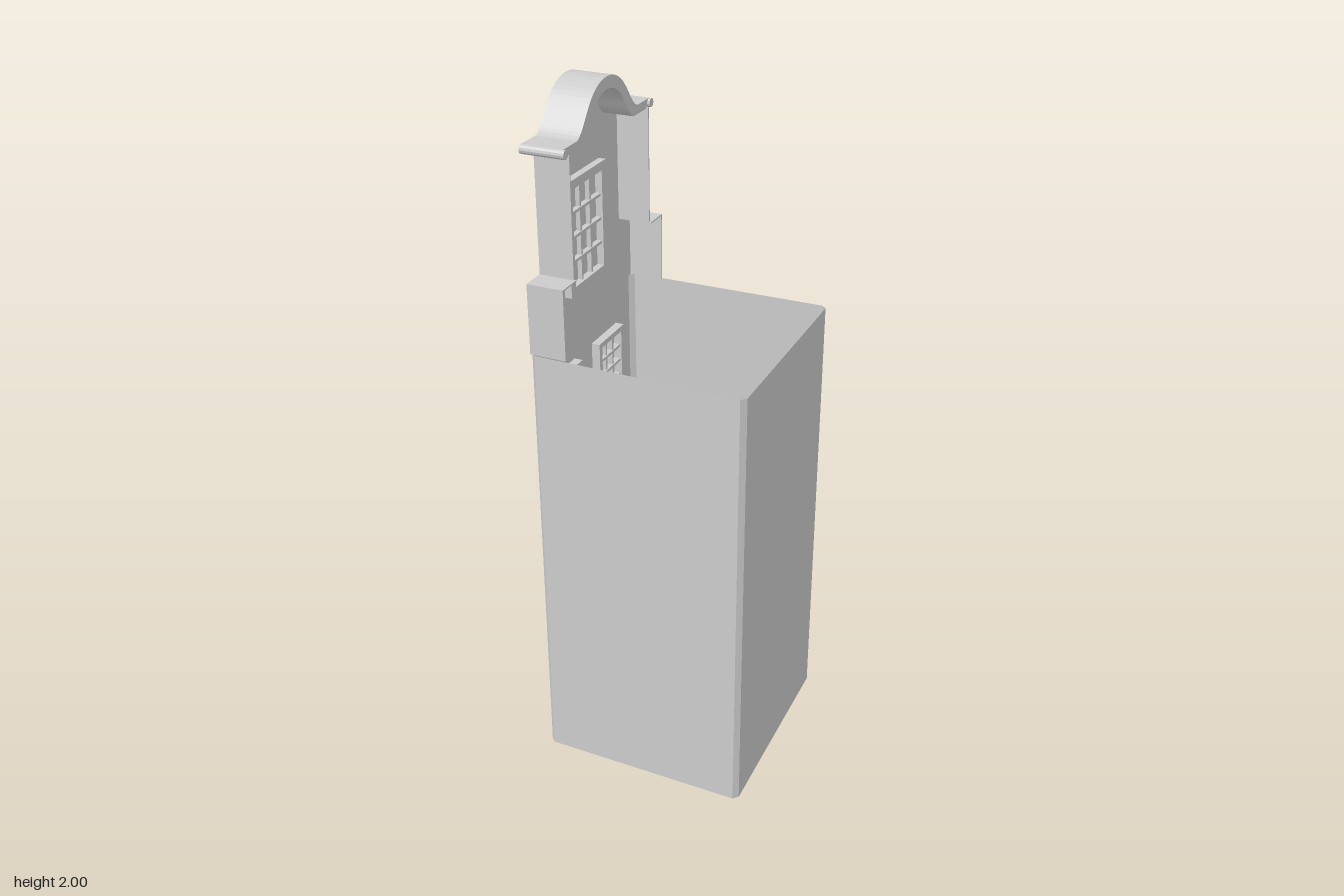
import * as THREE from 'three';

const material = new THREE.MeshStandardMaterial({ color: 0xcccccc, flatShading: true, side: THREE.DoubleSide });
const WALL = -0.285; // plane of the street facade, which faces -x

function add(parent, name, geometry) {
  const mesh = new THREE.Mesh(geometry, material);
  mesh.name = name;
  parent.add(mesh);
  return mesh;
}

// Box given by its limits on each axis
function box(parent, name, [x0, x1], [y0, y1], [z0, z1]) {
  const mesh = add(parent, name, new THREE.BoxGeometry(x1 - x0, y1 - y0, z1 - z0));
  mesh.position.set((x0 + x1) / 2, (y0 + y1) / 2, (z0 + z1) / 2);
  return mesh;
}

// Shape drawn in (z, y), given thickness along x
function slab(parent, name, shape, x0, x1) {
  const g = new THREE.ExtrudeGeometry(shape, { depth: x1 - x0, bevelEnabled: false, curveSegments: 16 });
  g.rotateY(-Math.PI / 2).translate(x1, 0, 0);
  return add(parent, name, g);
}

// Open shell joining a bottom outline to a top outline
function shell(bottom, top, y0, y1) {
  const pos = [], index = [], n = bottom.length;
  for (let i = 0; i < n; i++) {
    pos.push(bottom[i][0], y0, bottom[i][1], top[i][0], y1, top[i][1]);
    const a = 2 * i, b = 2 * ((i + 1) % n);
    index.push(a, a + 1, b, b, a + 1, b + 1);
  }
  const g = new THREE.BufferGeometry();
  g.setAttribute('position', new THREE.Float32BufferAttribute(pos, 3));
  g.setIndex(index);
  const flat = g.toNonIndexed();
  flat.computeVertexNormals();
  return flat;
}

// Rectangle with chamfered corners, in (x, z)
function outline(x0, x1, zFront, zBack, c) {
  return [[x0, -zFront + c], [x0 + c, -zFront], [x1 - c, -zBack], [x1, -zBack + c],
    [x1, zBack - c], [x1 - c, zBack], [x0 + c, zFront], [x0, zFront - c]];
}

// Frame with glazing bars that pass through the wall
function makeWindow(name, [z0, z1], [y0, y1], front, rim, cols, rows) {
  const group = new THREE.Group();
  group.name = name;
  const frame = new THREE.Shape([[z0, y0], [z1, y0], [z1, y1], [z0, y1]].map(p => new THREE.Vector2(...p)));
  frame.holes.push(new THREE.Path([[z0 + rim, y0 + rim], [z0 + rim, y1 - rim], [z1 - rim, y1 - rim], [z1 - rim, y0 + rim]]
    .map(p => new THREE.Vector2(...p))));
  slab(group, 'windowFrame', frame, front, -0.26);
  const t = 0.004, depth = [front + 0.012, -0.268];
  for (let i = 1; i < cols; i++) {
    const z = z0 + rim + (z1 - z0 - 2 * rim) * i / cols;
    box(group, 'verticalBar', depth, [y0 + rim, y1 - rim], [z - t, z + t]);
  }
  for (let i = 1; i < rows; i++) {
    const y = y0 + rim + (y1 - y0 - 2 * rim) * i / rows;
    box(group, 'horizontalBar', [depth[0] - 0.003, depth[1] + 0.003], [y - t, y + t], [z0 + rim, z1 - rim]);
  }
  return group;
}

// Curve of the gable top, from the +z shoulder over the crown to the -z shoulder
function crown(shape, shoulder, top, w) {
  shape.lineTo(w, shoulder);
  shape.bezierCurveTo(w * 0.72, shoulder + 0.01, w * 0.62, top, 0, top);
  shape.bezierCurveTo(-w * 0.62, top, -w * 0.72, shoulder + 0.01, -w, shoulder);
}

export function createModel() {
  const model = new THREE.Group();
  model.name = 'canalHouse';

  // Walls, open at top and bottom
  add(model, 'houseWalls', shell(
    outline(WALL, 0.335, 0.309, 0.311, 0.014),
    outline(WALL, 0.327, 0.303, 0.31, 0.014), 0.01, 1.33));

  // Stepped gable sheet
  const gable = new THREE.Shape();
  gable.moveTo(-0.3, 1.33);
  gable.lineTo(0.3, 1.33);
  gable.lineTo(0.3, 1.53);
  gable.lineTo(0.23, 1.53);
  gable.lineTo(0.23, 1.865);
  crown(gable, 1.865, 1.975, 0.16);
  gable.lineTo(-0.23, 1.865);
  gable.lineTo(-0.23, 1.53);
  gable.lineTo(-0.3, 1.53);
  gable.closePath();
  slab(model, 'gable', gable, WALL, WALL + 0.004);

  // Returns along the gable's sides
  for (const s of [-1, 1]) {
    const span = (a, b) => [Math.min(s * a, s * b), Math.max(s * a, s * b)];
    box(model, 'lowerReturn', [WALL, -0.18], [1.33, 1.53], span(0.296, 0.3));
    box(model, 'gableStep', [WALL, -0.18], [1.526, 1.53], span(0.226, 0.3));
    box(model, 'upperReturn', [WALL, -0.185], [1.53, 1.86], span(0.226, 0.23));
    // Rounded cornice end
    const end = add(model, 'corniceEnd', new THREE.CylinderGeometry(0.0125, 0.0125, 0.125, 12));
    end.rotation.z = Math.PI / 2;
    end.position.set(-0.2475, 1.8675, s * 0.247);
  }

  // Arched cornice band
  const cornice = new THREE.Shape();
  cornice.moveTo(0.247, 1.855);
  cornice.lineTo(0.247, 1.88);
  crown(cornice, 1.88, 2.0, 0.175);
  cornice.lineTo(-0.247, 1.88);
  cornice.lineTo(-0.247, 1.855);
  cornice.lineTo(-0.15, 1.855);
  cornice.bezierCurveTo(-0.11, 1.865, -0.09, 1.967, 0, 1.967);
  cornice.bezierCurveTo(0.09, 1.967, 0.11, 1.865, 0.15, 1.855);
  cornice.closePath();
  slab(model, 'cornice', cornice, -0.309, -0.192);

  // Windows
  model.add(makeWindow('gableWindow', [-0.112, 0.107], [1.415, 1.74], -0.338, 0.025, 3, 4));
  for (const y of [0.67, 0.99]) {
    for (const z of [-0.2, 0.06]) {
      model.add(makeWindow('window', [z, z + 0.155], [y, y + 0.22], -0.322, 0.016, 3, 4));
    }
  }

  // Door with frame and handle, reaching through the wall
  const door = new THREE.Group();
  door.name = 'door';
  box(door, 'doorJamb', [-0.305, -0.258], [0, 0.495], [-0.1, -0.085]);
  box(door, 'doorJamb', [-0.305, -0.258], [0, 0.495], [0.105, 0.12]);
  box(door, 'doorLintel', [-0.305, -0.258], [0.48, 0.495], [-0.085, 0.105]);
  box(door, 'doorLeaf', [-0.29, -0.278], [0.01, 0.48], [-0.085, 0.105]);
  box(door, 'handlePlate', [-0.296, -0.272], [0.215, 0.265], [0.068, 0.084]);
  box(door, 'handle', [-0.309, -0.26], [0.235, 0.247], [0.055, 0.08]);
  model.add(door);

  return model;
}
